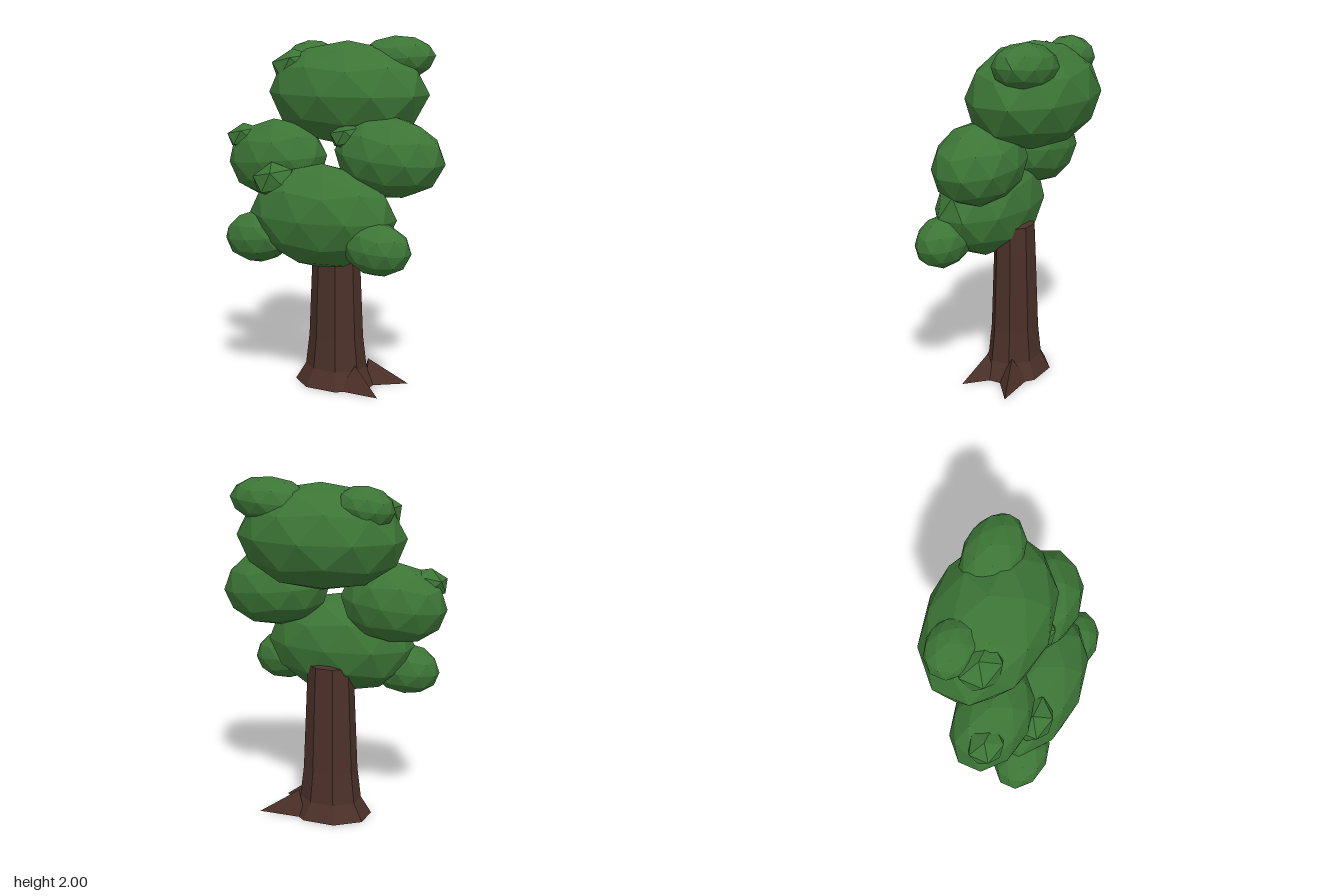
import * as THREE from 'three';
import { ConvexGeometry } from 'three/addons/geometries/ConvexGeometry.js';

export function createModel() {
  const tree = new THREE.Group();
  tree.name = 'tree';
  const leafMat = new THREE.MeshStandardMaterial({ color: 0x3c7536, flatShading: true });
  const barkMat = new THREE.MeshStandardMaterial({ color: 0x4a3028, flatShading: true, side: THREE.DoubleSide });

  const add = (name, geometry, material) => {
    const mesh = new THREE.Mesh(geometry, material);
    mesh.name = name;
    tree.add(mesh);
    return mesh;
  };

  // Eight-sided trunk with a flared foot, slightly flattened front to back
  const profile = [[0.248, 0], [0.185, 0.1], [0.163, 0.28], [0.143, 0.75], [0.135, 0.91], [0, 0.95]]
    .map(([r, y]) => new THREE.Vector2(r, y));
  const trunk = add('trunk', new THREE.LatheGeometry(profile, 8, Math.PI / 8), barkMat);
  trunk.scale.z = 0.81;
  trunk.position.z = 0.018;

  // Two pointed roots on the left side of the foot
  const root = (name, s, tipX, tipZ) => add(name, new ConvexGeometry([
    new THREE.Vector3(0.17, 0.14, s * 0.08 + 0.02),
    new THREE.Vector3(0.2, 0, s * 0.01 + 0.02),
    new THREE.Vector3(0.1, 0, s * 0.15 + 0.02),
    new THREE.Vector3(tipX, 0, tipZ),
  ]), barkMat);
  root('frontRoot', 1, 0.35, 0.17);
  root('backRoot', -1, 0.39, -0.14);

  // Foliage clumps: name, centre, radii, tilt about z
  const clumps = [
    ['crownClump', [0.005, 1.675, -0.108], [0.49, 0.297, 0.334], 0],
    ['crownLeftClump', [0.265, 1.872, -0.2], [0.235, 0.128, 0.16], 0.08],
    ['crownRightClump', [-0.28, 1.855, -0.18], [0.165, 0.115, 0.135], 0.15],
    ['middleRightClump', [-0.36, 1.298, 0.07], [0.31, 0.23, 0.21], 0.1],
    ['middleLeftClump', [0.345, 1.345, 0.035], [0.322, 0.226, 0.237], -0.1],
    ['lowerClump', [0, 1.01, 0.18], [0.45, 0.294, 0.26], 0],
    ['lowerRightClump', [-0.372, 0.872, 0.255], [0.208, 0.15, 0.148], 0.1],
    ['lowerLeftClump', [0.385, 0.876, 0.255], [0.197, 0.147, 0.143], -0.1],
  ];
  // Small coarse tufts resting on the clumps
  const tufts = [
    ['crownTuft', [-0.29, 1.825, -0.015], [0.15, 0.1, 0.125], 0.2],
    ['middleRightTuft', [-0.545, 1.42, 0.12], [0.12, 0.08, 0.105], 0.2],
    ['middleLeftTuft', [0.135, 1.455, 0.12], [0.11, 0.08, 0.105], 0.2],
    ['lowerTuft', [-0.25, 1.2, 0.27], [0.14, 0.11, 0.115], 0.2],
  ];
  // Turn each ball so that a corner points straight up and another straight down
  const poleTurn = -Math.atan(2 / (1 + Math.sqrt(5)));
  const grow = (list, detail) => {
    for (const [name, centre, radii, tilt] of list) {
      const ball = new THREE.IcosahedronGeometry(1, detail).rotateZ(poleTurn);
      const clump = add(name, ball, leafMat);
      clump.position.set(...centre);
      clump.scale.set(...radii);
      clump.rotation.z = tilt;
    }
  };
  grow(clumps, 1);
  grow(tufts, 0);

  return tree;
}
